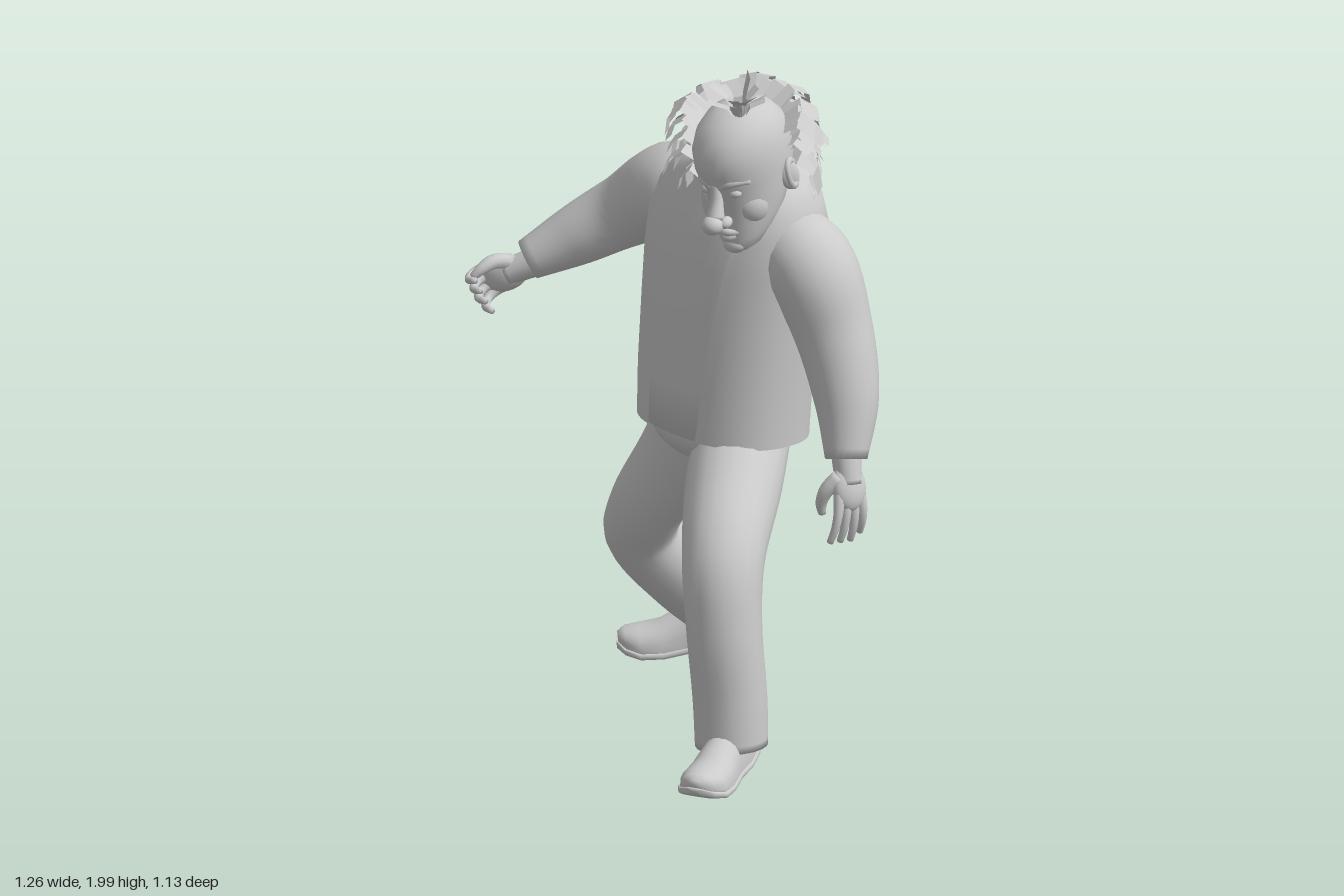
import * as THREE from 'three';
import { mergeGeometries } from 'three/addons/utils/BufferGeometryUtils.js';

const V = (x, y, z) => new THREE.Vector3(x, y, z);
const lerp = THREE.MathUtils.lerp;
const grey = new THREE.MeshStandardMaterial({ color: 0xcccccc });
const greyThin = new THREE.MeshStandardMaterial({ color: 0xcccccc, side: THREE.DoubleSide });
const greyFlat = new THREE.MeshStandardMaterial({ color: 0xcccccc, side: THREE.DoubleSide, flatShading: true });

function add(parent, name, geometry, material = grey) {
  const mesh = new THREE.Mesh(geometry, material);
  mesh.name = name;
  parent.add(mesh);
  return mesh;
}

// Skin between rings of points, optionally closed around and capped at both ends
function loft(rings, closed = true, caps = true) {
  const n = rings[0].length, pos = [], idx = [];
  rings.forEach(r => r.forEach(p => pos.push(p.x, p.y, p.z)));
  for (let i = 0; i < rings.length - 1; i++)
    for (let j = 0; j < (closed ? n : n - 1); j++) {
      const k = (j + 1) % n, a = i * n + j, b = i * n + k;
      idx.push(a, b, b + n, a, b + n, a + n);
    }
  if (caps) [0, rings.length - 1].forEach((i, end) => {
    const c = rings[i].reduce((s, p) => s.add(p), V(0, 0, 0)).divideScalar(n);
    const ci = pos.length / 3;
    pos.push(c.x, c.y, c.z);
    for (let j = 0; j < n; j++) {
      const a = i * n + j, b = i * n + (j + 1) % n;
      idx.push(ci, end ? a : b, end ? b : a);
    }
  });
  const g = new THREE.BufferGeometry();
  g.setAttribute('position', new THREE.Float32BufferAttribute(pos, 3));
  g.setIndex(idx);
  g.computeVertexNormals();
  return g;
}

// Smooth tapered tube through [x, y, z, radius] points
function limb(pts, steps = 24, sides = 20) {
  const path = new THREE.CatmullRomCurve3(pts.map(p => V(p[0], p[1], p[2])));
  const radius = new THREE.CatmullRomCurve3(pts.map((p, i) => V(p[3], i * 0.1, 0)));
  const N = V(0.31, 0.2, 0.93), rings = [];
  for (let i = 0; i <= steps; i++) {
    const t = i / steps, c = path.getPoint(t), T = path.getTangent(t), r = radius.getPoint(t).x;
    N.addScaledVector(T, -N.dot(T)).normalize();
    const B = T.clone().cross(N);
    rings.push(Array.from({ length: sides }, (_, j) => {
      const a = j / sides * Math.PI * 2;
      return c.clone().addScaledVector(N, r * Math.cos(a)).addScaledVector(B, r * Math.sin(a));
    }));
  }
  return loft(rings);
}

function ball(parent, name, x, y, z, sx, sy, sz) {
  const m = add(parent, name, new THREE.SphereGeometry(1, 24, 16));
  m.position.set(x, y, z);
  m.scale.set(sx, sy, sz);
  return m;
}

// Torso sections: height, centre x, centre z, half width, half depth
const torso = [
  [0.86, 0.108, -0.135, 0.254, 0.2], [1.0, 0.113, -0.14, 0.257, 0.205], [1.2, 0.125, -0.15, 0.264, 0.207],
  [1.35, 0.135, -0.16, 0.272, 0.207], [1.45, 0.143, -0.165, 0.275, 0.198], [1.53, 0.15, -0.165, 0.25, 0.178],
  [1.58, 0.152, -0.16, 0.212, 0.155], [1.62, 0.16, -0.14, 0.155, 0.13], [1.645, 0.175, -0.1, 0.09, 0.1]];
const square = v => Math.sign(v) * Math.pow(Math.abs(v), 0.89);

function torsoShell(scale, gap, drift) {
  const yaw = 0.43, n = 48, open = gap > 0;
  return torso.map(([y, cx, cz, w, d], i) => Array.from({ length: n }, (_, j) => {
    const g = gap * (1 + 0.08 * i);
    const t = open ? drift * i + lerp(g, Math.PI * 2 - g, j / (n - 1)) : j / n * Math.PI * 2;
    const u = w * scale * square(Math.sin(t)), v = d * scale * square(Math.cos(t));
    const hem = i ? 0 : -0.018 * (1 - Math.cos(t));
    return V(cx + u * Math.cos(yaw) - v * Math.sin(yaw), y + (open ? hem : 0), cz + u * Math.sin(yaw) + v * Math.cos(yaw));
  }));
}

// Hand hanging along -y, fingers curling toward -x, thumb on the side given by s
function makeHand(name, s, curl) {
  const hand = new THREE.Group();
  hand.name = name;
  ball(hand, 'palm', 0, -0.055, 0, 0.027, 0.06, 0.046);
  add(hand, 'wrist', limb([[0, 0.03, 0, 0.036], [0, -0.01, 0, 0.034], [0, -0.05, 0, 0.032]], 8, 14));
  for (let f = 0; f < 4; f++) {
    const z = s * (0.033 - f * 0.022), p = [0, -0.09, z], pts = [[0, -0.06, z * 0.9, 0.014]];
    for (let k = 0; k < 4; k++) {
      pts.push([...p, 0.0135 - k * 0.0018]);
      const a = curl * (k + 0.6);
      p[0] -= 0.034 * Math.sin(a);
      p[1] -= (f === 3 ? 0.028 : 0.034) * Math.cos(a);
      p[2] += z * 0.12;
    }
    add(hand, 'finger', limb(pts, 12, 10));
  }
  add(hand, 'thumb', limb([[0, -0.03, s * 0.025, 0.02], [-0.025, -0.06, s * 0.05, 0.018],
    [-0.045, -0.09, s * 0.052, 0.014], [-0.055, -0.115, s * 0.045, 0.009]], 10, 10));
  return hand;
}

function aimHand(hand, at, dir, curlDir) {
  const y = dir.normalize().negate(), x = curlDir.negate();
  x.addScaledVector(y, -x.dot(y)).normalize();
  hand.quaternion.setFromRotationMatrix(new THREE.Matrix4().makeBasis(x, y, x.clone().cross(y)));
  hand.position.copy(at);
  hand.scale.setScalar(1.15);
  return hand;
}

// Shoe sections: distance along the foot, half width, height, lift of the sole
const shoe = [[-0.172, 0.03, 0.06, 0.025], [-0.155, 0.048, 0.1, 0.012], [-0.08, 0.058, 0.12, 0.004], [-0.01, 0.058, 0.105, 0.004],
  [0.06, 0.067, 0.075, 0], [0.12, 0.069, 0.062, 0.006], [0.16, 0.052, 0.045, 0.02], [0.18, 0.02, 0.022, 0.032]];

function makeShoe(name) {
  const g = new THREE.Group();
  g.name = name;
  const rings = section => loft(shoe.map(s => Array.from({ length: 24 }, (_, j) => {
    const a = j / 24 * Math.PI * 2;
    return section(s, Math.cos(a), Math.sin(a));
  })));
  add(g, 'upper', rings(([z, w, h, l], c, s) => V(w * c, l + 0.02 + (s > 0 ? h * Math.pow(s, 0.8) : 0.008 * s), z)));
  add(g, 'sole', rings(([z, w, , l], c, s) =>
    V(w * 1.08 * Math.sign(c) * Math.sqrt(Math.abs(c)), l + 0.011 + 0.012 * Math.sign(s) * Math.sqrt(Math.abs(s)), z * 1.03)));
  return g;
}

// Bent flat lock of hair: path points and a sideways vector
function lock(path, side, taper = 0.75) {
  return loft(path.map((p, i) => {
    const s = side.clone().multiplyScalar(lerp(1, taper, i / (path.length - 1)));
    return [p.clone().sub(s), p.clone().add(s)];
  }), false, false);
}

function makeHead() {
  const head = new THREE.Group();
  head.name = 'head';
  // Skull sections: height, half width, front, back
  const skull = [[-0.19, 0.03, 0.135, 0.07], [-0.178, 0.052, 0.15, 0.03], [-0.145, 0.075, 0.152, -0.02],
    [-0.105, 0.094, 0.143, -0.08], [-0.05, 0.108, 0.14, -0.13], [0.01, 0.116, 0.143, -0.16], [0.06, 0.12, 0.153, -0.165],
    [0.11, 0.116, 0.145, -0.155], [0.15, 0.1, 0.118, -0.13], [0.18, 0.073, 0.08, -0.09], [0.194, 0.035, 0.035, -0.05]];
  add(head, 'skull', loft(skull.map(([y, w, f, b]) => Array.from({ length: 36 }, (_, j) => {
    const a = j / 36 * Math.PI * 2;
    return V(w * Math.sin(a), y, (f + b) / 2 + (f - b) / 2 * Math.cos(a));
  }))));
  // Face
  add(head, 'noseBridge', limb([[0, 0.035, 0.132, 0.014], [0, -0.015, 0.15, 0.018], [0, -0.058, 0.175, 0.026]], 10, 14));
  ball(head, 'noseTip', 0, -0.066, 0.192, 0.031, 0.027, 0.03);
  add(head, 'upperLip', limb([[-0.042, -0.127, 0.122, 0.006], [0, -0.117, 0.151, 0.011], [0.042, -0.127, 0.122, 0.006]], 12, 10));
  add(head, 'lowerLip', limb([[-0.038, -0.133, 0.122, 0.006], [0, -0.135, 0.15, 0.011], [0.038, -0.133, 0.122, 0.006]], 12, 10));
  ball(head, 'chin', 0, -0.167, 0.13, 0.036, 0.026, 0.028);
  for (const s of [-1, 1]) {
    ball(head, 'nostril', s * 0.026, -0.07, 0.166, 0.017, 0.016, 0.021);
    ball(head, 'eye', s * 0.046, 0, 0.12, 0.021, 0.013, 0.016);
    ball(head, 'cheek', s * 0.043, -0.065, 0.066, 0.054, 0.064, 0.058);
    add(head, 'brow', limb([[s * 0.012, 0.024, 0.136, 0.012], [s * 0.045, 0.036, 0.126, 0.014], [s * 0.085, 0.026, 0.089, 0.009]], 12, 10));
    const ear = ball(head, 'ear', s * 0.113, -0.03, -0.035, 0.016, 0.046, 0.03);
    ear.rotation.y = s * -0.3;
    const rim = add(head, 'earRim', new THREE.TorusGeometry(0.026, 0.008, 8, 20));
    rim.position.set(s * 0.122, -0.025, -0.038);
    rim.scale.set(1, 1.45, 1);
    rim.rotation.y = s * (Math.PI / 2 + 0.3);
  }

  // Horseshoe of hair locks round the sides and back
  let seed = 7;
  const rnd = () => (seed = (seed * 16807) % 2147483647) / 2147483647 - 0.5;
  const locks = [];
  for (let row = 0; row < 5; row++)
    for (let k = 0; k < 21; k++) {
      const a = lerp(-1.55, 1.55, k / 20) + rnd() * 0.16, y = 0.105 - row * 0.046 + rnd() * 0.03;
      const reach = (row === 4 ? 0.75 : 1) * (1 + rnd() * 0.22);
      const at = (out, dy) => V(Math.sin(a) * (0.108 + out * 0.1 * reach), y + dy, -0.035 - Math.cos(a) * (0.12 + out * 0.115 * reach));
      const side = V(Math.cos(a), rnd() * 0.7, Math.sin(a)).multiplyScalar(0.025 + rnd() * 0.012);
      locks.push(lock([at(0, 0), at(0.55, 0.035), at(0.95, 0), at(1.05 + rnd() * 0.25, -0.05 + rnd() * 0.04)], side));
    }
  const hair = add(head, 'sideHair', mergeGeometries(locks), greyFlat);
  hair.position.set(-0.03, 0, 0);
  hair.rotation.set(0, 0.3, -0.2);

  // Tuft on the crown, one lock standing tall
  const tuft = [];
  for (let k = 0; k < 14; k++) {
    const a = k / 14 * Math.PI * 2, r = 0.065 + rnd() * 0.05, h = 0.075 + rnd() * 0.04;
    const at = (o, dy) => V(Math.sin(a) * o, dy, Math.cos(a) * o);
    tuft.push(lock([at(0.008, 0), at(r * 0.4, h * 0.65), at(r, h)], V(Math.cos(a), 0, -Math.sin(a)).multiplyScalar(0.01), 1.5));
  }
  tuft.push(lock([V(0, 0, 0), V(0.004, 0.06, -0.015), V(0.006, 0.122, -0.04)], V(0.013, 0, 0.013), 1.6));
  const crown = add(head, 'tuft', mergeGeometries(tuft), greyFlat);
  crown.position.set(0.04, 0.172, 0.012);
  crown.rotation.set(-0.2, 0, -0.12);

  head.position.set(0.277, 1.705, 0.1);
  head.rotation.set(0.29, -0.24, 0.1, 'YXZ');
  return head;
}

export function createModel() {
  const model = new THREE.Group();
  model.name = 'walkingMan';

  // Clothes on the body
  add(model, 'shirt', loft(torsoShell(0.965, 0, 0)));
  add(model, 'jacket', loft(torsoShell(1, 0.33, 0.035), false, false), greyThin);
  add(model, 'neck', limb([[0.17, 1.5, -0.1, 0.09], [0.21, 1.58, -0.03, 0.085], [0.26, 1.66, 0.06, 0.08]], 12));
  const collar = add(model, 'collar', new THREE.CylinderGeometry(0.09, 0.12, 0.09, 28, 1, true, 0.3, Math.PI * 2 - 0.6), greyThin);
  collar.position.set(0.19, 1.57, -0.045);
  collar.rotation.set(0.55, -0.3, -0.1, 'YXZ');

  // Sleeves and hands
  add(model, 'rightSleeve', limb([[0.06, 1.44, -0.2, 0.1], [-0.07, 1.455, -0.262, 0.132], [-0.25, 1.345, -0.305, 0.103],
    [-0.38, 1.265, -0.27, 0.085], [-0.5, 1.195, -0.21, 0.057]]));
  add(model, 'leftSleeve', limb([[0.27, 1.44, -0.11, 0.1], [0.385, 1.375, -0.07, 0.127], [0.465, 1.2, -0.058, 0.11],
    [0.522, 1.02, -0.018, 0.09], [0.545, 0.865, 0.038, 0.058]]));
  model.add(aimHand(makeHand('rightHand', -1, 0.85), V(-0.505, 1.18, -0.205), V(-0.85, -0.4, 0.25), V(0.35, -0.1, 0.9)));
  model.add(aimHand(makeHand('leftHand', 1, 0.22), V(0.55, 0.855, 0.045), V(0.2, -0.95, 0.25), V(-0.85, 0, -0.5)));

  // Trousers
  const hips = ball(model, 'hips', 0.11, 0.86, -0.13, 0.225, 0.12, 0.18);
  hips.rotation.y = -0.44;
  add(model, 'leftTrouserLeg', limb([[0.172, 0.85, -0.14, 0.13], [0.212, 0.73, 0.04, 0.132], [0.262, 0.59, 0.23, 0.113],
    [0.286, 0.42, 0.28, 0.104], [0.305, 0.22, 0.285, 0.102], [0.313, 0.085, 0.292, 0.1]], 32));
  add(model, 'rightTrouserLeg', limb([[0.045, 0.86, -0.18, 0.13], [-0.04, 0.7, -0.197, 0.122], [-0.15, 0.53, -0.22, 0.105],
    [-0.19, 0.42, -0.28, 0.104], [-0.108, 0.265, -0.395, 0.112], [-0.018, 0.125, -0.482, 0.092]], 32));

  // Shoes
  const left = makeShoe('leftShoe');
  left.position.set(0.318, 0.016, 0.38);
  left.rotation.set(0.06, 0, 0, 'YXZ');
  const right = makeShoe('rightShoe');
  right.position.set(-0.13, 0.025, -0.44);
  right.rotation.set(0.12, -1.15, 0, 'YXZ');
  model.add(left, right, makeHead());
  return model;
}
